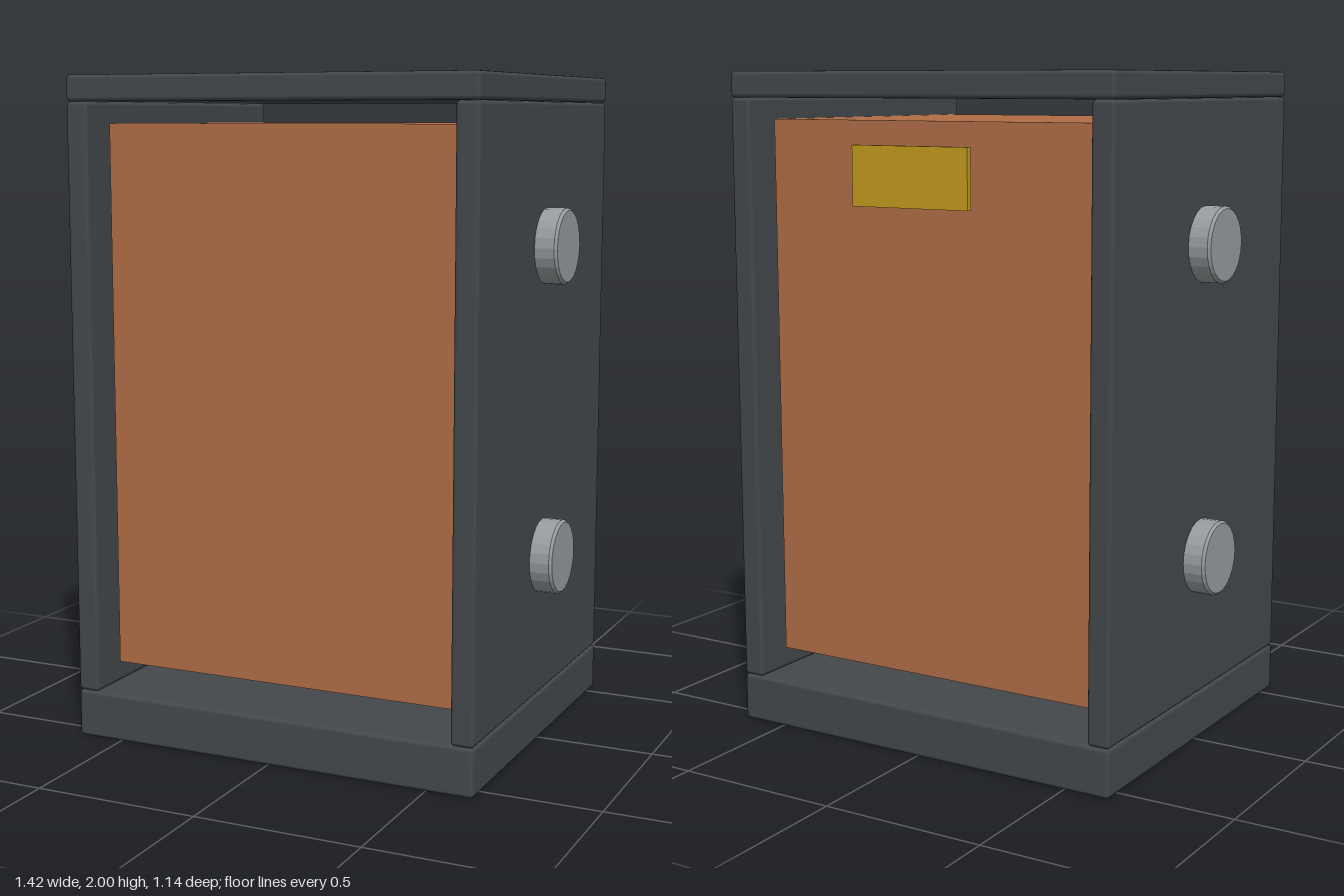
import * as THREE from 'three';
import { RoundedBoxGeometry } from 'three/addons/geometries/RoundedBoxGeometry.js';

export function createModel() {
  const model = new THREE.Group();
  model.name = 'openCabinet';

  const material = (name, color, flatShading = false) => {
    const m = new THREE.MeshStandardMaterial({ color, flatShading });
    m.name = name;
    return m;
  };
  const charcoal = material('charcoal', 0x43484b);
  const copper = material('copper', 0xb06c46);
  const steel = material('steel', 0x969b9e, true);
  const brass = material('brass', 0xc39b1e);

  const add = (name, geometry, mat, x, y, z) => {
    const mesh = new THREE.Mesh(geometry, mat);
    mesh.name = name;
    mesh.position.set(x, y, z);
    model.add(mesh);
    return mesh;
  };

  const zc = 0.003; // the casing sits slightly forward of the rear plate
  const width = 1.29, depth = 1.132;

  // Slab with softened edges, spanning y0 to y1
  const slab = (name, w, x, y0, y1) =>
    add(name, new RoundedBoxGeometry(w, y1 - y0, depth, 2, 0.012), charcoal, x, (y0 + y1) / 2, zc);

  // Casing, open at the front and back
  slab('base', width, 0, 0, 0.145);
  slab('lid', width, 0, 1.923, 2);
  slab('leftWall', 0.07, 0.61, 0.145, 1.923);
  slab('rightWall', 0.07, -0.61, 0.145, 1.923);

  // Core block held clear of the casing on all sides
  add('core', new THREE.BoxGeometry(1.105, 1.64, 0.95), copper, 0, 1.04, zc);

  // Plate at the rear
  add('rearPlate', new THREE.BoxGeometry(0.39, 0.174, 0.018), brass, 0, 1.705, -0.563);

  // Round bosses with bevelled rims, two on each side wall
  const profile = [[0, 0], [0.112, 0], [0.112, 0.064], [0.105, 0.072], [0, 0.072]]
    .map(([r, h]) => new THREE.Vector2(r, h));
  const boss = new THREE.LatheGeometry(profile, 24);
  for (const side of [1, -1]) {
    for (const y of [0.575, 1.505]) {
      const name = (side > 0 ? 'left' : 'right') + (y > 1 ? 'Upper' : 'Lower') + 'Boss';
      add(name, boss, steel, side * 0.64, y, zc).rotation.z = -side * Math.PI / 2;
    }
  }
  return model;
}
